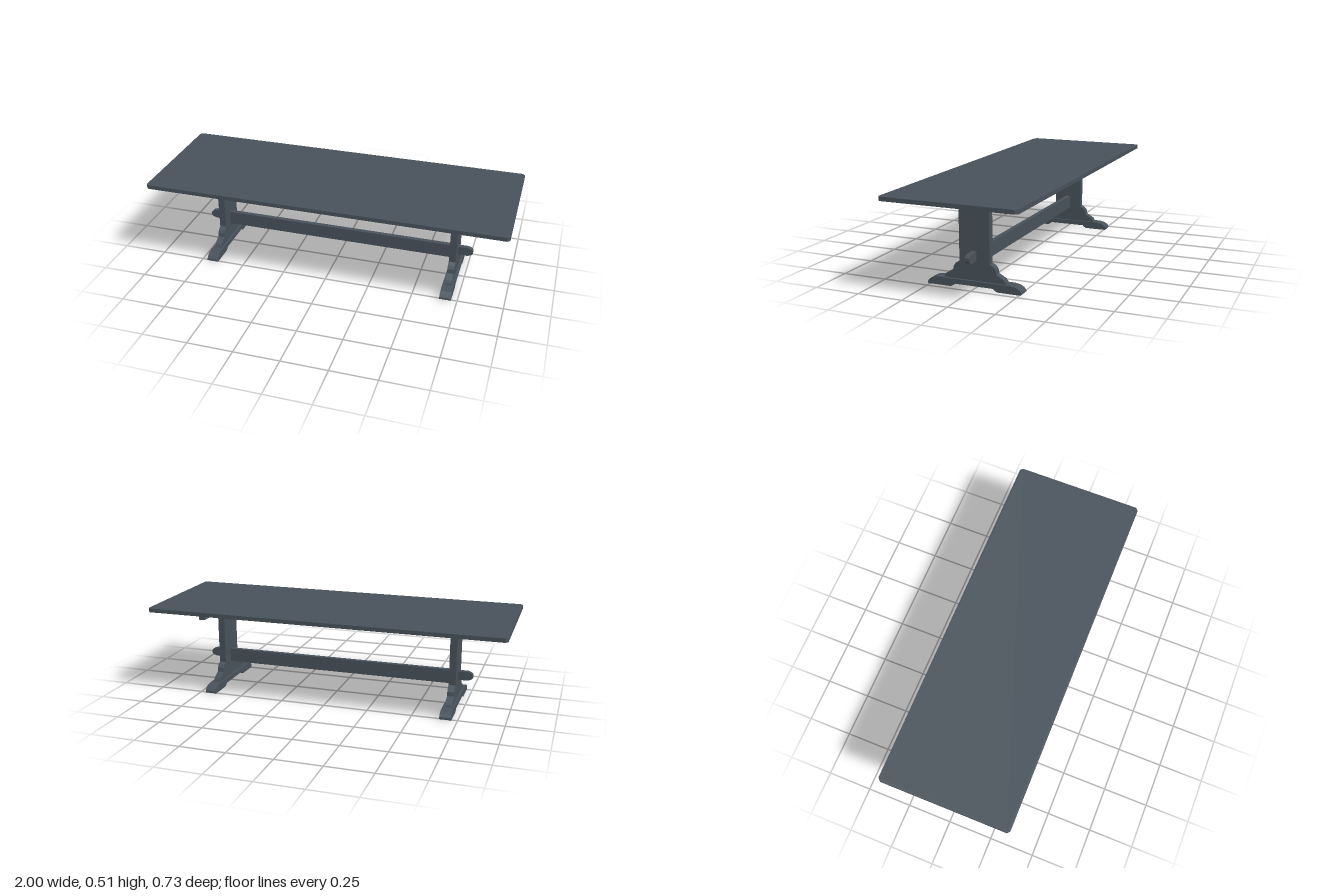
import * as THREE from 'three';

export function createModel() {
  const model = new THREE.Group();
  model.name = 'trestleTable';
  const paint = new THREE.MeshStandardMaterial({ color: 0x48525b });
  paint.name = 'slate paint';

  const add = (name, geometry, x = 0, y = 0, z = 0) => {
    const mesh = new THREE.Mesh(geometry, paint);
    mesh.name = name;
    mesh.position.set(x, y, z);
    model.add(mesh);
  };

  // Board cut from an outline, centred on its own thickness
  const board = (points, thickness) => {
    const shape = new THREE.Shape(points.map(([a, b]) => new THREE.Vector2(a, b)));
    return new THREE.ExtrudeGeometry(shape, { depth: thickness, bevelEnabled: false })
      .translate(0, 0, -thickness / 2);
  };

  // Outline made of one half plus its mirror image
  const mirrored = (half) => [...half, ...half.map(([a, b]) => [-a, b]).reverse()];

  // Table top with clipped corners
  const w = 1, d = 0.366, c = 0.014;
  const top = board(mirrored([[w - c, -d], [w, -d + c], [w, d - c], [w - c, d]]), 0.022);
  add('tableTop', top.rotateX(-Math.PI / 2), 0, 0.497, 0);

  // Long rails between the two trestles
  add('topRail', new THREE.BoxGeometry(1.335, 0.046, 0.026), 0, 0.463, 0);
  add('stretcher', new THREE.BoxGeometry(1.335, 0.078, 0.026), 0, 0.161, 0);

  const legHalf = [
    [0.173, 0.041], [0.17, 0.05], [0.161, 0.064], [0.121, 0.085], [0.117, 0.108],
    [0.106, 0.124], [0.084, 0.137], [0.084, 0.486],
  ];
  const footHalf = [
    [0.108, 0.016], [0.116, 0.008], [0.13, 0], [0.257, 0], [0.262, 0.004],
    [0.261, 0.014], [0.25, 0.027], [0.231, 0.037], [0.204, 0.042],
  ];
  const tenon = [
    [0, -0.025], [0.056, -0.025], [0.075, -0.018], [0.084, -0.009],
    [0.084, 0.009], [0.075, 0.018], [0.056, 0.025], [0, 0.025],
  ];

  // Trestles: shaped leg, foot, outer cleat and protruding tenon
  for (const [side, s] of [['left', 1], ['right', -1]]) {
    add(side + 'Leg', board(mirrored(legHalf), 0.038).rotateY(Math.PI / 2), s * 0.685);
    add(side + 'Foot', board(mirrored(footHalf), 0.064).rotateY(Math.PI / 2), s * 0.685);
    add(side + 'Cleat', new THREE.BoxGeometry(0.032, 0.05, 0.522), s * 0.72, 0.461, 0);
    const peg = board(tenon, 0.026);
    if (s < 0) peg.rotateY(Math.PI);
    add(side + 'Tenon', peg, s * 0.702, 0.172, 0);
  }
  return model;
}
